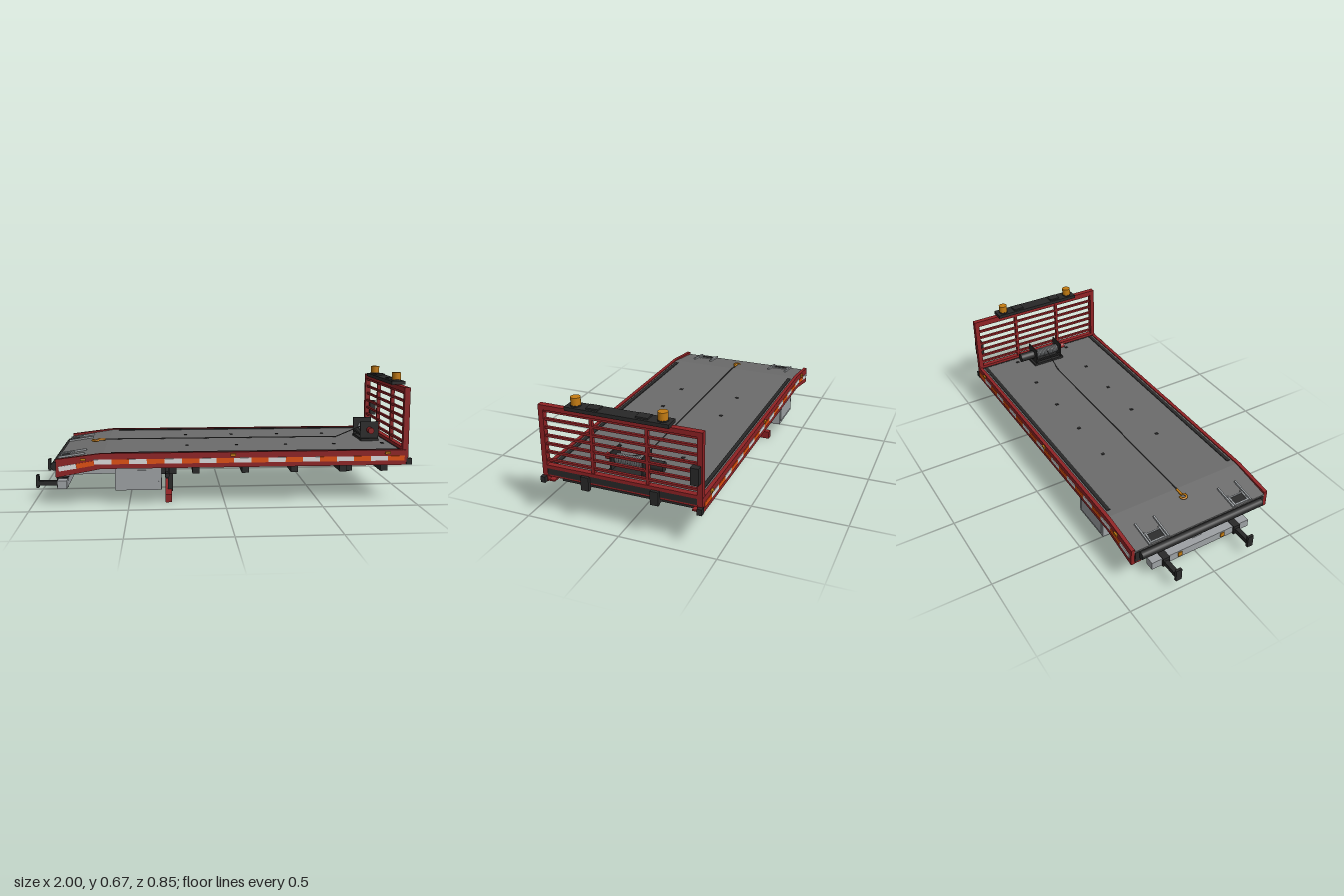
import * as THREE from 'three';

const mat = (name, color) => {
  const m = new THREE.MeshStandardMaterial({ color });
  m.name = name;
  return m;
};

export function createModel() {
  const root = new THREE.Group();
  root.name = 'flatbedCarrierBody';
  const red = mat('red paint', 0x8f2224), black = mat('black steel', 0x282828);
  const deckGrey = mat('deck grey', 0x6c6c6c), grey = mat('light grey metal', 0x9da1a4);
  const steel = mat('dark cable steel', 0x4a4a4a), white = mat('white tape', 0xdcdcdc);
  const orange = mat('orange tape', 0xe0500f), amber = mat('amber lamp', 0xc47c12);

  const add = (name, geo, m, x = 0, y = 0, z = 0) => {
    const mesh = new THREE.Mesh(geo, m);
    mesh.name = name;
    mesh.position.set(x, y, z);
    root.add(mesh);
    return mesh;
  };
  // box given by its limits on each axis
  const box = (name, m, x0, x1, y0, y1, z0, z1) => add(name,
    new THREE.BoxGeometry(x1 - x0, y1 - y0, Math.abs(z1 - z0)), m, (x0 + x1) / 2, (y0 + y1) / 2, (z0 + z1) / 2);
  // cylinder between two points
  const rod = (name, m, a, b, r, seg = 16) => {
    const p = new THREE.Vector3(...a), q = new THREE.Vector3(...b), d = q.clone().sub(p);
    const mesh = add(name, new THREE.CylinderGeometry(r, r, d.length(), seg), m);
    mesh.position.copy(p).add(q).multiplyScalar(0.5);
    mesh.quaternion.setFromUnitVectors(new THREE.Vector3(0, 1, 0), d.normalize());
    return mesh;
  };
  // side outline in x, y extruded between two z limits
  const prism = (name, m, pts, z0, z1) => {
    const s = new THREE.Shape(pts.map(p => new THREE.Vector2(...p)));
    return add(name, new THREE.ExtrudeGeometry(s, { depth: z1 - z0, bevelEnabled: false }), m, 0, 0, z0);
  };
  const both = f => [1, -1].forEach(f);
  const slope = Math.atan(0.16), dip = x => Math.max(0, -0.64 - x) * 0.16;

  // deck plate with its black underside, dropping toward the tail
  prism('deck', deckGrey, [[-0.87, 0.224], [-0.63, 0.26], [0.955, 0.26], [0.955, 0.272], [-0.63, 0.272], [-0.87, 0.236]], -0.4, 0.4);
  prism('deckUnderside', black, [[-0.868, 0.215], [-0.63, 0.25], [0.95, 0.25], [0.95, 0.26], [-0.63, 0.26], [-0.868, 0.224]], -0.4, 0.4);

  both(s => {
    // side rail and its lower flange
    const z0 = s > 0 ? 0.397 : -0.417;
    prism('sideRail', red, [[-0.87, 0.155], [-0.64, 0.198], [0.96, 0.198], [0.96, 0.278], [-0.64, 0.278], [-0.87, 0.25]], z0, z0 + 0.02);
    box('railFlange', red, -0.63, 0.955, 0.198, 0.206, s * 0.36, s * 0.4);
    prism('tailFlange', red, [[-0.87, 0.157], [-0.63, 0.2], [-0.63, 0.208], [-0.87, 0.165]], s > 0 ? 0.36 : -0.4, s > 0 ? 0.4 : -0.36);
    box('deckSlot', black, -0.59, 0.93, 0.272, 0.276, s * 0.367, s * 0.387);

    // reflective tape
    const n = 20, w = 1.8 / n;
    for (let i = 0; i < n; i++) {
      const x = -0.855 + (i + 0.5) * w;
      const t = box('reflectiveTape', i % 2 ? orange : white, x - w / 2, x + w / 2, 0.222, 0.247, s * 0.416, s * 0.42);
      t.position.y -= dip(x);
      if (x < -0.64) t.rotation.z = slope;
    }
    // side markers
    for (const x of [-0.73, 0.04, 0.855]) {
      box('sideMarker', amber, x - 0.014, x + 0.014, 0.257 - dip(x), 0.269 - dip(x), s * 0.41, s * 0.426);
    }
    // tie-down points
    for (const x of [-0.19, 0.08, 0.35, 0.62, 0.89]) {
      box('tieDown', black, x - 0.008, x + 0.008, 0.27, 0.275, s * 0.167, s * 0.185);
    }
    // tail chain pockets
    const pocket = new THREE.Group();
    pocket.name = 'chainPocket';
    const bar = (m, x, z, l, d, h) => {
      const b = new THREE.Mesh(new THREE.BoxGeometry(l, h, d), m);
      b.position.set(x, h / 2, z);
      pocket.add(b);
    };
    for (const z of [-0.055, 0.055]) bar(grey, 0, z, 0.14, 0.009, 0.01);
    for (const z of [-0.042, 0.042]) bar(grey, -0.03, z, 0.07, 0.008, 0.008);
    bar(black, -0.035, 0, 0.05, 0.076, 0.003);
    for (const x of [-0.06, -0.008]) bar(grey, x, 0, 0.007, 0.1, 0.006);
    pocket.position.set(-0.8, 0.247, s * 0.255);
    pocket.rotation.z = Math.atan(0.15);
    root.add(pocket);

    // longitudinal frame beams
    box('mainBeam', black, -0.62, 0.97, 0.2, 0.255, s * 0.168, s * 0.2);
    box('beamEnd', black, 0.955, 0.978, 0.198, 0.27, s * 0.16, s * 0.202);
    box('innerBeam', black, -0.3, 0.62, 0.165, 0.22, s * 0.075, s * 0.105);
    box('cornerBumper', black, 0.955, 0.985, 0.2, 0.232, s * 0.395, s * 0.42);

    // tool box
    box('toolBox', grey, -0.57, -0.33, 0.08, 0.225, s * 0.277, s * 0.4);
    box('toolBoxDoor', grey, -0.555, -0.345, 0.095, 0.185, s * 0.395, s * 0.403);
    box('toolBoxMount', black, -0.5, -0.4, 0.15, 0.24, s * 0.24, s * 0.28);

    // under-run bar hanger
    box('barHanger', black, -0.297, -0.27, 0.03, 0.2, s * 0.197, s * 0.225);
    rod('hangerPin', black, [-0.3, 0.12, s * 0.18], [-0.3, 0.12, s * 0.24], 0.012);

    // front hinge arm and cylinder
    prism('hingeArm', black, [[0.55, 0.2], [0.61, 0.2], [0.74, 0.14], [0.74, 0.11], [0.72, 0.11]], s * 0.105 - 0.008, s * 0.105 + 0.008);
    rod('liftCylinder', black, [0.56, 0.19, s * 0.083], [0.72, 0.135, s * 0.083], 0.018);
    rod('hydraulicRam', grey, [0.1, 0.23, s * 0.083], [0.56, 0.23, s * 0.083], 0.01);
    box('hingePost', black, 0.71, 0.738, 0.11, 0.205, s * 0.097, s * 0.11);

    // wheel-lift fork
    box('fork', black, -0.99, -0.86, 0.074, 0.098, s * 0.208, s * 0.234);
    box('forkEnd', black, -1, -0.985, 0.062, 0.13, s * 0.204, s * 0.238);
    box('forkSleeve', black, -0.89, -0.83, 0.064, 0.116, s * 0.2, s * 0.24);
    box('liftMarker', amber, -0.884, -0.879, 0.078, 0.104, s * 0.12, s * 0.145);

    // headboard posts and uprights
    box('headboardPost', red, 0.935, 0.965, 0.2, 0.605, s * 0.39, s * 0.416);
    box('headboardUpright', red, 0.94, 0.96, 0.278, 0.585, s * 0.134, s * 0.149);

    // beacons
    rod('beaconBase', black, [0.945, 0.622, s * 0.22], [0.945, 0.63, s * 0.22], 0.026, 24);
    rod('beacon', amber, [0.945, 0.626, s * 0.22], [0.945, 0.668, s * 0.22], 0.024, 24);
    box('lightBarPad', black, 0.92, 0.97, 0.624, 0.632, s * 0.094, s * 0.156);

    // winch cheeks
    box('winchCheek', black, 0.788, 0.892, 0.272, 0.38, s * 0.08, s * 0.087);
  });

  // headboard rails
  box('headboardTop', red, 0.935, 0.965, 0.58, 0.605, -0.415, 0.415);
  box('headboardBottom', red, 0.935, 0.965, 0.272, 0.29, -0.415, 0.415);
  for (let i = 0; i < 7; i++) {
    const y = 0.314 + i * 0.0432;
    box('headboardBar', red, 0.943, 0.957, y - 0.006, y + 0.006, -0.4, 0.4);
  }
  box('lightBar', black, 0.908, 0.982, 0.605, 0.624, -0.263, 0.263);
  box('controlBox', black, 0.96, 0.995, 0.355, 0.441, -0.408, -0.367);

  // underframe
  box('frontCrossBeam', black, 0.93, 0.962, 0.238, 0.274, -0.396, 0.396);
  box('frontTrim', red, 0.935, 0.958, 0.226, 0.236, -0.396, 0.396);
  for (const x of [-0.27, -0.15, 0.11, 0.37, 0.63, 0.85]) {
    box('crossMember', black, x - 0.019, x + 0.019, 0.157, 0.226, -0.37, 0.37);
  }
  for (const x of [-0.02, 0.24, 0.5, 0.74]) {
    box('deckRib', black, x - 0.012, x + 0.012, 0.215, 0.252, -0.38, 0.38);
  }
  box('rearCrossMember', black, -0.62, -0.58, 0.2, 0.25, -0.38, 0.38);
  box('hingeCrossBar', black, 0.708, 0.742, 0.105, 0.122, -0.11, 0.11);
  box('hingePlate', black, 0.7, 0.742, 0.09, 0.106, -0.05, 0.05);

  // tail panel and roller
  box('tailPanel', black, -0.872, -0.855, 0.168, 0.228, -0.395, 0.395);
  rod('tailRoller', black, [-0.88, 0.205, -0.37], [-0.88, 0.205, 0.37], 0.022, 20);

  // under-run bar
  box('underrunBar', red, -0.31, -0.276, 0, 0.042, -0.352, 0.352);
  rod('hangerTube', black, [-0.3, 0.11, -0.21], [-0.3, 0.11, 0.21], 0.014);

  // wheel lift
  const boom = box('liftBoom', grey, -0.84, -0.32, 0.09, 0.128, -0.028, 0.028);
  boom.rotation.z = 0.012;
  box('boomMount', black, -0.36, -0.27, 0.085, 0.2, -0.045, 0.045);
  box('liftCrossBar', grey, -0.88, -0.83, 0.068, 0.112, -0.3, 0.3);
  rod('boomCylinder', black, [-0.33, 0.165, 0], [-0.6, 0.135, 0], 0.017);

  // winch
  rod('winchDrum', steel, [0.84, 0.328, -0.08], [0.84, 0.328, 0.08], 0.022, 20);
  for (let i = 0; i < 16; i++) {
    add('cableWrap', new THREE.TorusGeometry(0.023, 0.004, 6, 20), grey, 0.84, 0.328, -0.0713 + i * 0.0095);
  }
  rod('winchMotor', black, [0.84, 0.33, -0.175], [0.84, 0.33, -0.085], 0.026, 20);
  rod('winchGearbox', red, [0.84, 0.333, 0.085], [0.84, 0.333, 0.13], 0.017, 20);
  box('winchBase', black, 0.79, 0.89, 0.27, 0.285, -0.1, 0.1);
  box('winchTieBar', black, 0.79, 0.802, 0.3, 0.31, -0.085, 0.085);

  // cable and hook
  rod('cableLead', steel, [0.82, 0.345, 0], [0.67, 0.283, 0], 0.003, 8);
  rod('cable', steel, [0.67, 0.283, 0], [-0.66, 0.283, 0], 0.003, 8);
  rod('hookShank', amber, [-0.645, 0.282, 0], [-0.69, 0.28, 0], 0.007, 10);
  const hook = add('hook', new THREE.TorusGeometry(0.017, 0.006, 8, 20, Math.PI * 1.5), amber, -0.7, 0.276, 0.002);
  hook.rotation.set(Math.PI / 2, 0, 0.3);

  return root;
}
